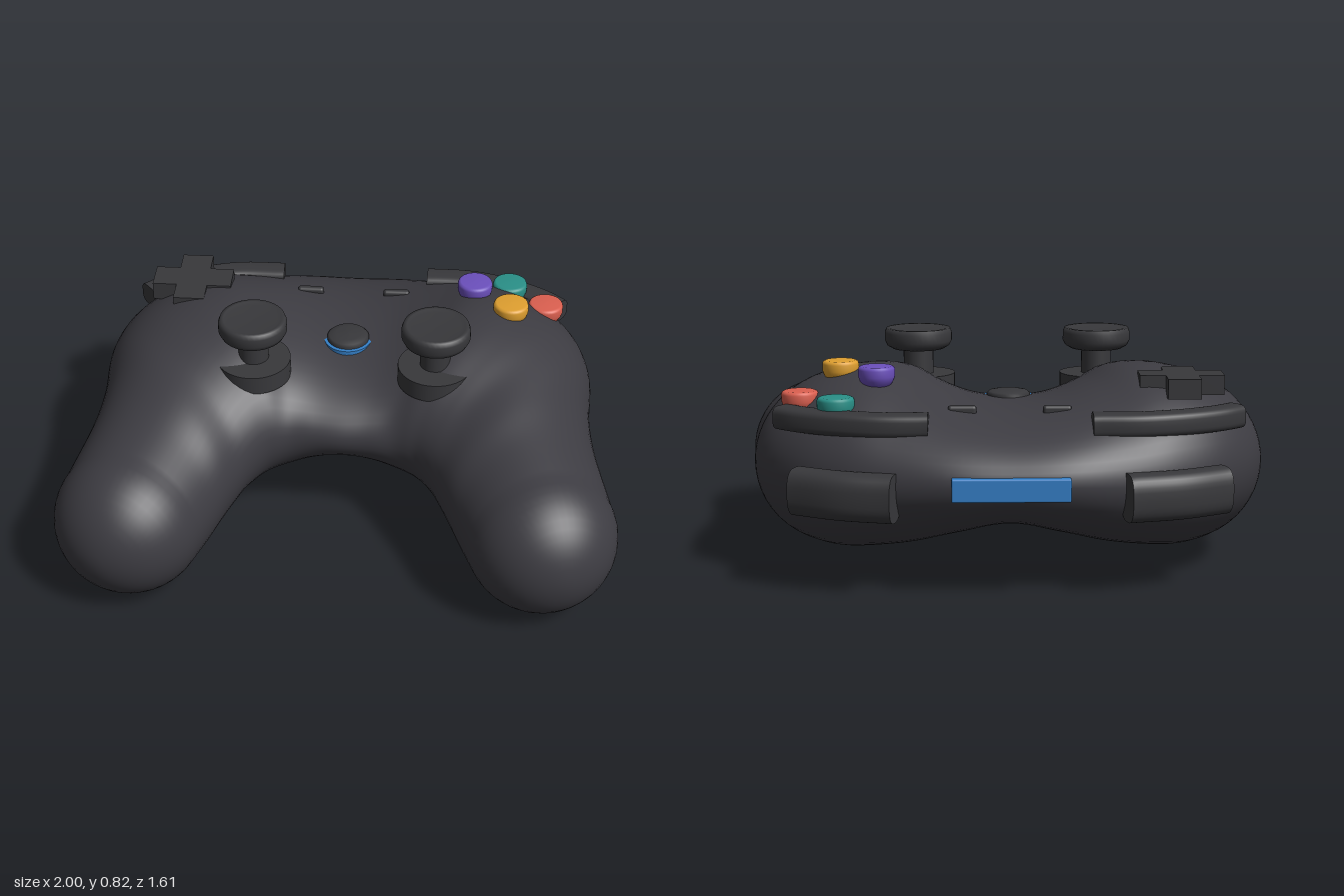
import * as THREE from 'three';
import { mergeVertices } from 'three/addons/utils/BufferGeometryUtils.js';
import { RoundedBoxGeometry } from 'three/addons/geometries/RoundedBoxGeometry.js';

const paint = (name, color) => {
  const m = new THREE.MeshStandardMaterial({ color });
  m.name = name;
  return m;
};

// Skin over a row of closed rings running towards +x, with optional flat ends
function loft(rings, capped) {
  const n = rings[0].length, pos = [], idx = [];
  rings.forEach(r => r.forEach(p => pos.push(p.x, p.y, p.z)));
  for (let i = 0; i < rings.length - 1; i++) {
    for (let j = 0; j < n; j++) {
      const k = (j + 1) % n, a = i * n + j, b = i * n + k;
      idx.push(a, b, a + n, b, b + n, a + n);
    }
  }
  if (capped) {
    [rings[0], rings[rings.length - 1]].forEach((ring, end) => {
      const c = new THREE.Vector3();
      ring.forEach(p => c.addScaledVector(p, 1 / n));
      const base = pos.length / 3;
      [c, ...ring].forEach(p => pos.push(p.x, p.y, p.z));
      for (let j = 0; j < n; j++) {
        const a = base + 1 + j, b = base + 1 + (j + 1) % n;
        idx.push(base, end ? a : b, end ? b : a);
      }
    });
  }
  let g = new THREE.BufferGeometry();
  g.setAttribute('position', new THREE.Float32BufferAttribute(pos, 3));
  g.setIndex(idx);
  if (!capped) g = mergeVertices(g, 1e-5);
  g.computeVertexNormals();
  return g;
}

// Shell sections from the middle to the grip:
// inner x, z, outer x, z, inner rim y, outer rim y, top y, bottom y
const SECTIONS = [
  [0, .23, 0, -.79, .40, .39, .60, .185],
  [.10, .225, .20, -.78, .40, .39, .615, .15],
  [.18, .228, .40, -.73, .39, .38, .66, .105],
  [.24, .25, .58, -.66, .39, .38, .71, .075],
  [.28, .275, .74, -.55, .38, .38, .715, .05],
  [.32, .32, .86, -.40, .36, .38, .69, .04],
  [.35, .37, .915, -.22, .34, .37, .655, .035],
  [.39, .45, .91, 0, .32, .34, .62, .025],
  [.43, .53, .93, .20, .29, .31, .58, .01],
  [.473, .624, .987, .456, .27, .27, .54, 0],
];

function shellGeometry() {
  const mirrored = SECTIONS.slice(1).reverse().map(s => [-s[0], s[1], -s[2], ...s.slice(3)]);
  const all = [...mirrored, ...SECTIONS];
  const curve = f => new THREE.CatmullRomCurve3(all.map(f), false, 'catmullrom', 0.5);
  const inner = curve(s => new THREE.Vector3(s[0], s[4], s[1]));
  const outer = curve(s => new THREE.Vector3(s[2], s[5], s[3]));
  const height = curve(s => new THREE.Vector3(s[6], s[7], 0));
  const SEG = 56;
  const ring = (pi, po, top, bottom) => {
    const mid = (pi.y + po.y) / 2;
    return Array.from({ length: SEG }, (_, j) => {
      const a = j / SEG * Math.PI * 2, s = Math.sin(a);
      const p = pi.clone().lerp(po, (1 + Math.cos(a)) / 2);
      p.y += s * (s > 0 ? top - mid : mid - bottom);
      return p;
    });
  };
  const rings = [];
  for (let i = 0; i <= 108; i++) {
    const t = i / 108, h = height.getPoint(t);
    rings.push(ring(inner.getPoint(t), outer.getPoint(t), h.x, h.y));
  }
  // Round grip ends
  const R = .27;
  for (let i = 1; i <= 12; i++) {
    const f = i / 12 * Math.PI / 2, r = i === 12 ? 0 : R * Math.cos(f), d = R * Math.sin(f);
    for (const side of [-1, 1]) {
      const at = k => new THREE.Vector3(side * (.73 + .31 * d + k * .952 * r), R, .54 + .95 * d - k * .311 * r);
      const loop = ring(at(-1), at(1), R + r, R - r);
      side > 0 ? rings.push(loop) : rings.unshift(loop);
    }
  }
  return loft(rings, false);
}

// Rounded bar swept along a level curve of [x, z] points at height y
function barGeometry(points, side, y, halfW, halfH, power) {
  const pts = points.map(([x, z]) => new THREE.Vector3(side * x, y, z));
  if (side < 0) pts.reverse();
  const path = new THREE.CatmullRomCurve3(pts);
  const rings = [];
  const round = v => Math.sign(v) * Math.abs(v) ** (2 / power);
  for (let i = 0; i <= 20; i++) {
    const p = path.getPoint(i / 20), t = path.getTangent(i / 20);
    rings.push(Array.from({ length: 32 }, (_, j) => {
      const a = j / 32 * Math.PI * 2;
      const w = round(Math.cos(a)) * halfW, h = round(Math.sin(a)) * halfH;
      return new THREE.Vector3(p.x + t.z * w, p.y + h, p.z - t.x * w);
    }));
  }
  return loft(rings, true);
}

const lathe = profile => new THREE.LatheGeometry(profile.map(p => new THREE.Vector2(...p)), 40);

export function createModel() {
  const shell = paint('shell charcoal', 0x3d3c42);
  const dark = paint('control charcoal', 0x38383b);
  const blue = paint('accent blue', 0x3580c8);
  const model = new THREE.Group();
  model.name = 'gamepad';
  const add = (name, geometry, material, x = 0, y = 0, z = 0) => {
    const mesh = new THREE.Mesh(geometry, material);
    mesh.name = name;
    mesh.position.set(x, y, z);
    model.add(mesh);
    return mesh;
  };

  add('shell', shellGeometry(), shell);

  for (const side of [1, -1]) {
    const label = side > 0 ? 'left' : 'right';
    // Thumb stick: collar, stem and cap
    add(label + 'StickCollar', new THREE.CylinderGeometry(.135, .135, .07, 40), dark, side * .33, .613, .055);
    add(label + 'StickStem', new THREE.CylinderGeometry(.055, .055, .16, 28), dark, side * .33, .69, .05);
    add(label + 'StickCap', lathe([[0, .74], [.095, .74], [.115, .752], [.124, .77], [.124, .80],
      [.118, .816], [.105, .816], [.09, .81], [0, .808]]), dark, side * .33, 0, .05);
    // Bumper above, trigger below
    add(label + 'Bumper', barGeometry([[.28, -.60], [.45, -.595], [.6, -.55], [.72, -.485], [.79, -.425]],
      side, .57, .05, .042, 3.5), dark);
    add(label + 'Trigger', barGeometry([[.39, -.745], [.57, -.695], [.73, -.61]],
      side, .347, .062, .083, 2.8), dark);
    // Small menu button
    add(label + 'MenuButton', new RoundedBoxGeometry(.1, .035, .03, 3, .012), dark, side * .165, .597, -.465);
  }

  // Direction pad
  const a = .058, b = .148;
  const cross = new THREE.Shape([[a, a], [a, b], [-a, b], [-a, a], [-b, a], [-b, -a],
    [-a, -a], [-a, -b], [a, -b], [a, -a], [b, -a], [b, a]].map(p => new THREE.Vector2(...p)));
  const pad = new THREE.ExtrudeGeometry(cross, { depth: .07, bevelEnabled: false });
  pad.rotateX(-Math.PI / 2);
  add('directionPad', pad, dark, -.603, .64, -.362);

  // Four coloured face buttons
  const cap = lathe([[0, -.07], [.048, -.07], [.06, -.05], [.065, -.035], [.065, -.012], [.062, -.004], [.054, 0], [0, .001]]);
  [['purple', 0x6c50bd, .465, .738, -.365], ['yellow', 0xe0a030, .6, .738, -.23],
    ['red', 0xdc6050, .735, .652, -.365], ['teal', 0x2a9088, .6, .652, -.5]]
    .forEach(([name, color, x, y, z]) => add(name + 'Button', cap, paint(name, color), x, y, z));

  // Home button with its light ring
  add('homeRing', new THREE.CylinderGeometry(.088, .088, .04, 40), blue, 0, .579, -.155);
  add('homeButton', lathe([[.078, .57], [.078, .606], [.07, .614], [.045, .619], [0, .621]]), dark, 0, 0, -.16);

  // Light bar on the back edge
  add('lightBar', new RoundedBoxGeometry(.4, .08, .045, 2, .006), blue, 0, .385, -.781);
  return model;
}
